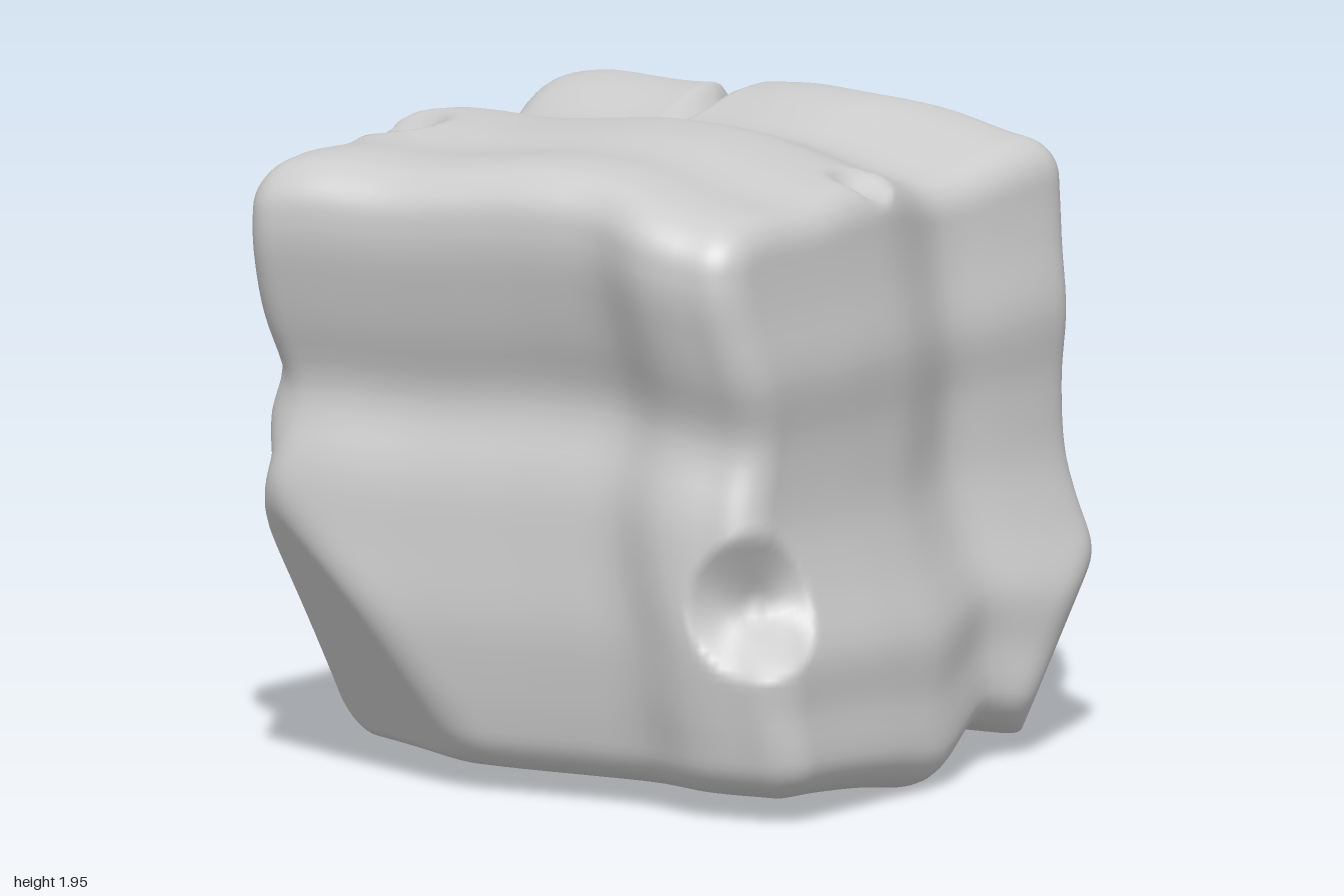
import * as THREE from 'three';
import { mergeVertices } from 'three/addons/utils/BufferGeometryUtils.js';

// Softened piecewise-linear profile through [position, value] points
function profile(points) {
  const at = (t) => {
    if (t <= points[0][0]) return points[0][1];
    for (let i = 1; i < points.length; i++) {
      const [a, va] = points[i - 1], [b, vb] = points[i];
      if (t <= b) return va + (vb - va) * (t - a) / (b - a);
    }
    return points[points.length - 1][1];
  };
  return (t) => {
    let sum = 0;
    for (let i = -2; i <= 2; i++) sum += (3 - Math.abs(i)) * at(t + i * 0.06);
    return sum / 9;
  };
}

// Each side: main profile along one axis plus an offset profile along the other
const side = (main, offset) => {
  const f = profile(main), g = profile(offset);
  return (s, t) => f(s) + g(t);
};

const left = side( // +x, by y then z
  [[0.02, 0.97], [0.15, 1.01], [0.3, 0.97], [0.5, 0.99], [0.64, 0.92], [0.9, 0.845], [1.2, 0.84], [1.38, 0.87], [1.6, 0.83], [1.82, 0.81]],
  [[-0.81, 0], [-0.55, -0.05], [-0.35, -0.11], [0.07, 0], [0.4, 0], [0.8, -0.02]]);
const right = side( // -x, by y then z
  [[0.05, -0.91], [0.5, -0.94], [0.72, -0.96], [0.95, -0.92], [1.2, -0.89], [1.45, -0.94], [1.8, -0.94]],
  [[-0.95, 0.03], [-0.77, -0.01], [-0.36, 0.11], [0.12, 0.01], [0.6, 0.07], [0.88, 0.03]]);
const front = side( // +z, by y then x
  [[0.08, 0.92], [0.2, 0.95], [0.5, 0.985], [0.75, 0.965], [0.95, 0.95], [1.2, 0.865], [1.4, 0.95], [1.72, 1.03], [1.88, 1.0]],
  [[-0.75, 0], [-0.4, -0.05], [0, -0.08], [0.38, -0.09], [0.57, 0.01], [0.8, -0.02]]);
const back = side( // -z, by y then x
  [[0.08, -0.94], [0.2, -0.96], [0.55, -1.01], [0.9, -0.97], [1.2, -0.96], [1.45, -0.96], [1.7, -1]],
  [[-0.9, 0.03], [-0.7, 0.02], [-0.25, 0.02], [0, 0.04], [0.34, 0.1], [0.48, 0], [0.8, 0]]);
const top = side( // +y, by x then z
  [[-0.88, 1.89], [-0.75, 1.93], [-0.4, 1.91], [0.07, 1.955], [0.35, 1.945], [0.6, 1.89], [0.8, 1.84]],
  [[-0.9, -0.03], [-0.78, -0.02], [-0.5, -0.08], [-0.33, -0.1], [0, 0], [0.3, 0], [0.5, -0.03], [0.77, -0.01], [0.95, -0.05]]);
const bottom = side( // -y, by x then z
  [[-0.8, 0.02], [-0.1, 0], [0.9, 0]],
  [[-0.7, 0.03], [-0.35, 0.12], [0.08, -0.01], [0.4, 0.04], [0.65, 0.06], [0.87, 0.07]]);

const v = (x, y, z) => new THREE.Vector3(x, y, z);

// Broken-off corners: outward plane normal and distance
const chips = [
  [v(-0.45, -0.475, 0.755), 0.69],
  [v(0.824, -0.379, -0.42), 0.94],
];

// Dents and bumps: centre, radius, push
const dents = [
  [v(0.84, 0.66, 0.9), 0.22, v(-0.09, -0.03, -0.13)],
  [v(-0.8, 1.9, 0.28), 0.17, v(0.06, -0.12, 0)],
  [v(0.74, 1.88, 0.08), 0.13, v(-0.05, -0.06, 0)],
  [v(-0.88, 0.7, -0.97), 0.2, v(0.05, 0, 0.11)],
  [v(-0.96, 0.72, -0.74), 0.25, v(-0.05, 0, 0)],
  [v(-0.9, 1.1, 0.78), 0.16, v(-0.05, 0, 0)],
  [v(-0.85, 0.05, -0.45), 0.26, v(0.03, 0.1, 0)],
];

const clamp = THREE.MathUtils.clamp, lerp = THREE.MathUtils.lerp;

function shapePoint(p) {
  // Round the edges of the cube
  const r = 0.13, k = 1 - r;
  const core = v(clamp(p.x, -k, k), clamp(p.y, -k, k), clamp(p.z, -k, k));
  const q = p.clone().sub(core).setLength(r).add(core);

  // Place between the uneven sides
  const x = q.x * 0.92, y = 0.97 + q.y * 0.95, z = q.z * 0.97;
  p.set(
    lerp(right(y, z), left(y, z), (q.x + 1) / 2),
    lerp(bottom(x, z), top(x, z), (q.y + 1) / 2),
    lerp(back(y, x), front(y, x), (q.z + 1) / 2));

  // Flatten the chipped corners with a soft rim
  for (const [n, d] of chips) {
    const h = n.dot(p) - d, soft = 0.06;
    const cut = h < -soft ? 0 : h > soft ? h : (h + soft) ** 2 / (4 * soft);
    p.addScaledVector(n, -cut);
  }

  for (const [c, radius, push] of dents) {
    const t = 1 - p.distanceTo(c) / radius;
    if (t > 0) p.addScaledVector(push, Math.min(1, t * 1.25));
  }

  // Wedge-shaped crack across the upper back edge
  const fade = 1 - Math.hypot(p.y - 1.87, p.z + 0.94) / 0.66;
  if (fade > 0) {
    const t = 1 - Math.abs(p.x + 0.28) / (0.03 + 0.06 * fade);
    if (t > 0) p.add(v(0, -0.1, 0.13).multiplyScalar(t * fade));
  }
}

export function createModel() {
  const group = new THREE.Group();
  const n = 72;
  let geometry = new THREE.BoxGeometry(2, 2, 2, n, n, n);
  geometry.deleteAttribute('uv');
  geometry.deleteAttribute('normal');
  geometry = mergeVertices(geometry, 1e-4);

  const pos = geometry.attributes.position, p = v(0, 0, 0);
  for (let i = 0; i < pos.count; i++) {
    p.fromBufferAttribute(pos, i);
    shapePoint(p);
    pos.setXYZ(i, p.x, p.y, p.z);
  }

  // Centre the block and stand it on the ground
  geometry.center();
  geometry.translate(0, -geometry.boundingBox.min.y, 0);
  geometry.computeVertexNormals();

  const block = new THREE.Mesh(geometry, new THREE.MeshStandardMaterial({ color: 0xcccccc }));
  block.name = 'stoneBlock';
  group.add(block);
  return group;
}
